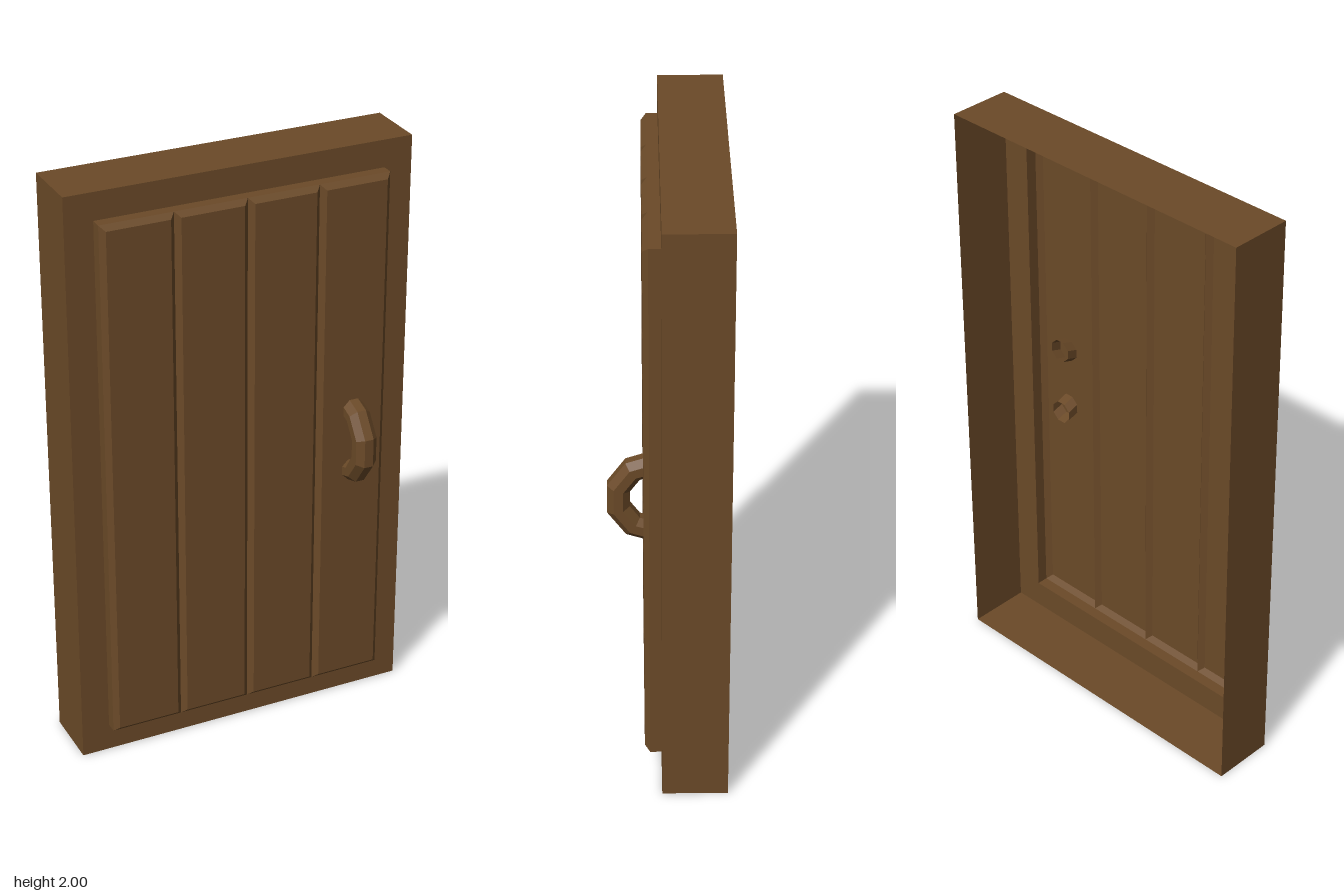
import * as THREE from 'three';

const wood = new THREE.MeshStandardMaterial({ color: 0x6b4a28, flatShading: true, side: THREE.DoubleSide });

// Skin a row of rectangular loops [x0, x1, y0, y1, z]; cap closes the last one.
function loftRects(loops, cap) {
  const corners = loops.map(([x0, x1, y0, y1, z]) => [[x0, y0, z], [x1, y0, z], [x1, y1, z], [x0, y1, z]]);
  const pos = [];
  const quad = (a, b, c, d) => pos.push(...a, ...b, ...c, ...a, ...c, ...d);
  for (let i = 0; i < corners.length - 1; i++) {
    for (let j = 0; j < 4; j++) {
      const k = (j + 1) % 4;
      quad(corners[i][j], corners[i][k], corners[i + 1][k], corners[i + 1][j]);
    }
  }
  if (cap) quad(...corners[corners.length - 1]);
  const geo = new THREE.BufferGeometry();
  geo.setAttribute('position', new THREE.Float32BufferAttribute(pos, 3));
  geo.computeVertexNormals();
  return geo;
}

function addMesh(group, name, geo) {
  const mesh = new THREE.Mesh(geo, wood);
  mesh.name = name;
  group.add(mesh);
  return mesh;
}

export function createModel() {
  const door = new THREE.Group();
  door.name = 'door';

  const W = 0.585, back = -0.19, front = 0.022;
  const PW = 0.49, y0 = 0.095, y1 = 1.908;
  const bevelZ = 0.06, faceZ = 0.077, inset = 0.017;

  // Hollow frame, open at the back, stepping forward around the panel
  addMesh(door, 'frame', loftRects([
    [-W, W, 0, 2, back],
    [-W, W, 0, 2, front],
    [-PW, PW, y0, y1, front],
    [-PW, PW, y0, y1, bevelZ],
  ], false));

  // Four bevelled planks, meeting in V grooves
  const planks = new THREE.Group();
  planks.name = 'planks';
  const step = PW / 2;
  for (let i = 0; i < 4; i++) {
    const a = -PW + i * step, b = a + step;
    addMesh(planks, `plank${i + 1}`, loftRects([
      [a, b, y0, y1, bevelZ],
      [a + inset, b - inset, y0 + inset, y1 - inset, faceZ],
    ], true));
  }
  door.add(planks);

  // Half-ring handle with an octagonal section, its open ends passing through the plank
  const profile = [];
  for (let i = 0; i <= 8; i++) {
    const t = (i + 0.5) * Math.PI / 4;
    profile.push(new THREE.Vector2(0.122 + 0.04 * Math.cos(t), 0.04 * Math.sin(t)));
  }
  const ring = new THREE.LatheGeometry(profile, 5, -Math.PI / 2, Math.PI);
  ring.rotateZ(Math.PI / 2);
  addMesh(door, 'handle', ring).position.set(0.373, 1, 0.038);

  return door;
}
